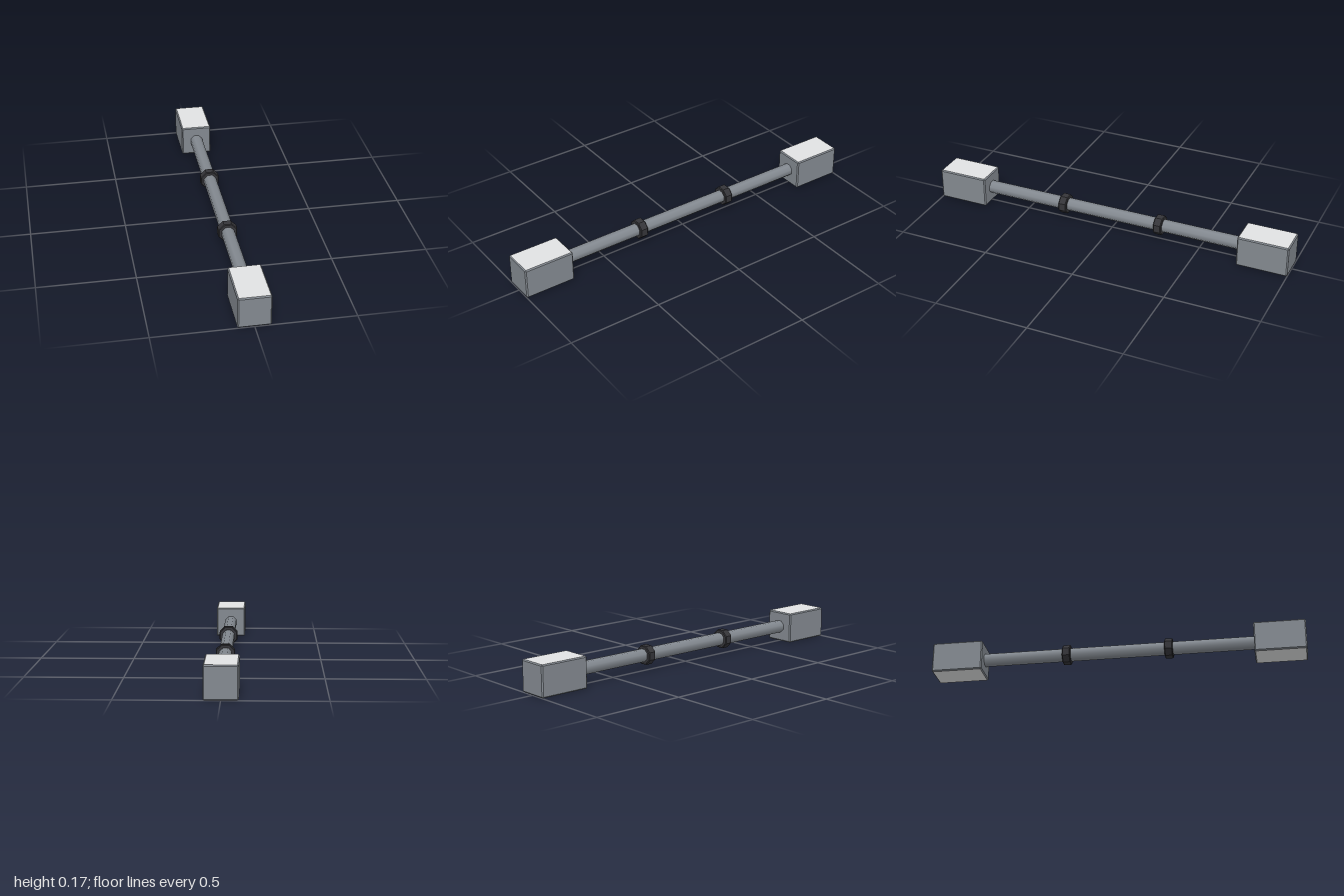
import * as THREE from 'three';
import { ConvexGeometry } from 'three/addons/geometries/ConvexGeometry.js';

const mat = (name, color) => {
  const m = new THREE.MeshStandardMaterial({ color });
  m.name = name;
  return m;
};

// Box with narrow chamfered edges; groups: 0 sides and chamfers, 1 top and underside
function chamferedBox(w, h, d, c) {
  const points = [];
  for (const x of [-1, 1]) for (const y of [-1, 1]) for (const z of [-1, 1]) {
    const [a, b, e] = [x * w / 2, y * h / 2, z * d / 2];
    points.push(
      new THREE.Vector3(a, b - y * c, e - z * c),
      new THREE.Vector3(a - x * c, b, e - z * c),
      new THREE.Vector3(a - x * c, b - y * c, e));
  }
  const geo = new ConvexGeometry(points);
  const normal = geo.attributes.normal;
  for (let i = 0; i < normal.count; i += 3) {
    geo.addGroup(i, 3, Math.abs(normal.getY(i)) > 0.99 ? 1 : 0);
  }
  return geo;
}

export function createModel() {
  const model = new THREE.Group();
  model.name = 'barWithEndBlocks';
  const steel = mat('steelGrey', 0x838990);
  const pale = mat('paleGrey', 0xe1e2e3);
  const dark = mat('darkGrey', 0x353539);

  const axisY = 0.083;
  const add = (name, geo, material, z) => {
    const mesh = new THREE.Mesh(geo, material);
    mesh.name = name;
    mesh.position.set(0, axisY, z);
    model.add(mesh);
  };

  // Long smooth pipe running into both blocks, flats facing up and sideways
  const pipe = new THREE.CylinderGeometry(0.035, 0.035, 1.5, 8, 1, true)
    .rotateY(Math.PI / 8).rotateX(Math.PI / 2);
  add('pipe', pipe, steel, 0);

  // Octagonal collar with slightly chamfered rims
  const profile = [[0.03, -0.022], [0.049, -0.022], [0.053, -0.018], [0.053, 0.018], [0.049, 0.022], [0.03, 0.022]]
    .map(([r, y]) => new THREE.Vector2(r, y));
  const collar = new THREE.LatheGeometry(profile, 8)
    .rotateY(Math.PI / 8).rotateX(Math.PI / 2).toNonIndexed();
  collar.computeVertexNormals();

  const block = chamferedBox(0.166, 0.166, 0.273, 0.006);

  // Matching collar and block at each end
  for (const [side, s] of [['front', 1], ['back', -1]]) {
    add(side + 'Collar', collar, dark, s * 0.275);
    add(side + 'Block', block, [steel, pale], s * 0.8635);
  }
  return model;
}
